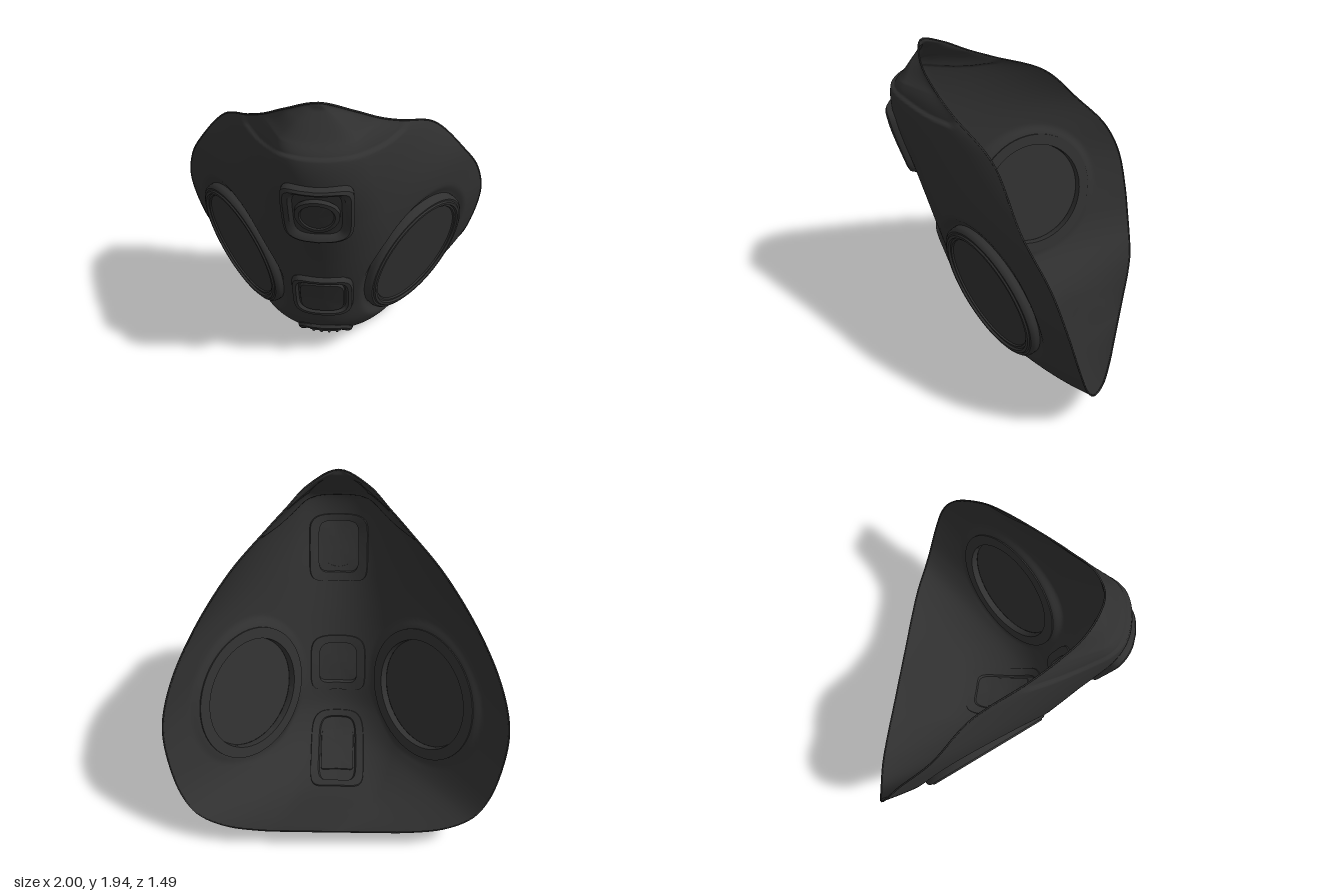
import * as THREE from 'three';
import { toCreasedNormals } from 'three/addons/utils/BufferGeometryUtils.js';

const V = (x, y, z) => new THREE.Vector3(x, y, z);
const smooth = THREE.MathUtils.smoothstep;

// Matching key points: centre line (y, z) and rim (x, y, z), nose to chin
const CENTRE = [[1.94, .52], [1.86, .575], [1.78, .63], [1.7, .69], [1.5, .695], [1.2, .587], [.95, .5], [.75, .435],
  [.5, .35], [.28, .285], [.13, .16], [.05, -.02], [.03, -.23], [.09, -.5], [.16, -.74]];
const RIM = [[0, 1.94, .52], [.18, 1.87, .455], [.31, 1.775, .33], [.42, 1.7, .2], [.62, 1.56, -.07], [.825, 1.285, -.27],
  [.945, 1.05, -.455], [.995, .82, -.56], [.965, .55, -.63], [.905, .36, -.67], [.82, .25, -.7], [.66, .19, -.73],
  [.45, .165, -.74], [.25, .16, -.74], [0, .16, -.74]];
const KEYS = CENTRE.length - 1;
const centreCurve = new THREE.CatmullRomCurve3(CENTRE.map(([y, z]) => V(0, y, z)));
// Closed rim loop: first half is the left side, second half its mirror
const rimCurve = new THREE.CatmullRomCurve3([...RIM.slice(0, -1).map(p => V(...p)),
  ...RIM.slice(1).reverse().map(([x, y, z]) => V(-x, y, z))], true);

// Filter disc frame (left side; mirrored for the right)
const DISC = V(.568, .653, -.012), AXIS = V(.75, -.2, .63).normalize();
const SIDE = V(0, 1, 0).cross(AXIS).normalize(), UP = AXIS.clone().cross(SIDE);
function discCoords(p) {
  const q = V(Math.abs(p.x), p.y, p.z).sub(DISC), h = q.dot(AXIS);
  return { h, r: Math.sqrt(Math.max(0, q.lengthSq() - h * h)) };
}

// Shell surface: k runs along the keys, u from -1 (right rim) to 1 (left rim)
function surf(u, k) {
  const a = Math.abs(u), t = THREE.MathUtils.clamp(k / KEYS, 0, 1);
  const c = centreCurve.getPoint(t), r = rimCurve.getPoint(t / 2);
  const width = .17 + .05 * smooth(k, 4, 6.5);
  const corner = V(Math.min(width, Math.max(0, r.x) * .5), c.y, c.z);
  const m = corner.clone().lerp(r, .25);
  let p;
  if (a < .35) {
    const s = a / .35;
    p = c.clone().multiplyScalar((1 - s) ** 2).addScaledVector(corner, 2 * s * (1 - s)).addScaledVector(m, s * s);
  } else p = m.clone().lerp(r, (a - .35) / .65);
  // gentle outward bulge of the cheeks
  const out = corner.clone().lerp(r, .5).sub(V(0, .8, -.45)).normalize();
  p.addScaledVector(out, .24 * a * a * (1 - a) * Math.min(1, Math.max(0, r.x)));
  // sunken nose flap with a drooping lower edge
  const edge = 3 + .5 * smooth(a, .1, .7) * (1 - .45 * smooth(a, .8, 1));
  const flap = (1 - smooth(k, edge - .13, edge)) * smooth(k, 0, .4) * (1 - a ** 8);
  p.addScaledVector(p.clone().sub(V(0, 1.5, 0)).normalize(), -.018 * flap);
  // flat seat around each disc
  const d = discCoords(p);
  if (d.h > -.3) p.addScaledVector(AXIS, (-.045 - d.h) * (1 - smooth(d.r, .43, .5)));
  if (u < 0) p.x = -p.x;
  return p;
}

// Point at width x on row k, lifted d off the surface
function onSurface(x, k, d) {
  let lo = 0, hi = .7;
  for (let i = 0; i < 22; i++) {
    const mid = (lo + hi) / 2;
    if (surf(mid, k).x < Math.abs(x)) lo = mid; else hi = mid;
  }
  const u = lo * (x < 0 ? -1 : 1), e = .02, p = surf(u, k);
  const n = surf(u + e, k).sub(surf(u - e, k)).cross(surf(u, k + e).sub(surf(u, k - e))).normalize();
  if (n.dot(p.clone().sub(V(0, .8, -.45))) < 0) n.negate();
  return p.addScaledVector(n, d);
}

// Embossed mounts on the centre line: half width, half height, key range
const BOSSES = {
  upper: { a: .19, b: .21, k0: 3.74, k1: 5.24 },
  middle: { a: .185, b: .19, k0: 6.87, k1: 8.42 },
  chin: { a: .18, b: .33, k0: 9.12, k1: 12.05 },
};
const onBoss = (B, x, y, d) => onSurface(x, (B.k0 + B.k1) / 2 - y / B.b * (B.k1 - B.k0) / 2, d);

function gridGeometry(rows, keep = () => true) {
  const w = rows[0].length, index = [];
  for (let j = 0; j < rows.length - 1; j++) for (let i = 0; i < w - 1; i++) {
    const a = j * w + i, b = a + 1, c = a + w, d = c + 1;
    if (keep(i, j)) index.push(a, c, b, b, c, d);
  }
  const g = new THREE.BufferGeometry();
  g.setAttribute('position', new THREE.Float32BufferAttribute(rows.flat().flatMap(p => p.toArray()), 3));
  g.setIndex(index);
  g.computeVertexNormals();
  return g;
}

// Concentric rounded outlines: profile is [inset, lift] from centre outward
function dish(B, a, b, power, profile, ox = 0) {
  const N = 64, pow = v => Math.sign(v) * Math.abs(v) ** (2 / power);
  const rows = profile.map(([inset, d]) => Array.from({ length: N + 1 }, (_, i) => {
    const t = (i % N) / N * Math.PI * 2;
    return onBoss(B, ox + pow(Math.cos(t)) * Math.max(0, a - inset), pow(Math.sin(t)) * Math.max(0, b - inset), d);
  }));
  return toCreasedNormals(gridGeometry(rows), .6);
}

export function createModel() {
  const group = new THREE.Group();
  const rubber = new THREE.MeshStandardMaterial({ color: 0x303030, side: THREE.DoubleSide });
  rubber.name = 'charcoal rubber';
  const add = (name, geometry) => {
    const mesh = new THREE.Mesh(geometry, rubber);
    mesh.name = name;
    group.add(mesh);
  };

  // Mask shell, open at the back, with openings behind the mounts and discs
  const U = 160, T = KEYS * 16, rows = [], open = [];
  for (let j = 0; j <= T; j++) {
    const k = j / T * KEYS, row = [], holes = [];
    for (let i = 0; i <= U; i++) {
      const p = surf(i / U * 2 - 1, k), d = discCoords(p);
      const inBoss = Object.values(BOSSES).some(B => {
        const v = (k - (B.k0 + B.k1) / 2) / ((B.k1 - B.k0) / 2);
        return Math.abs(p.x / B.a / .88) ** 5 + Math.abs(v / .9) ** 5 < 1;
      });
      row.push(p);
      holes.push(inBoss || (d.r < .41 && d.h > -.3));
    }
    rows.push(row);
    open.push(holes);
  }
  add('maskShell', gridGeometry(rows, (i, j) =>
    !(open[j][i] && open[j][i + 1] && open[j + 1][i] && open[j + 1][i + 1])));

  // Thin bead around the face opening
  add('rimBead', new THREE.TubeGeometry(rimCurve, 200, .005, 6, true));

  // Upper mount with round button
  const { upper, middle, chin } = BOSSES;
  add('upperMount', dish(upper, .19, .21, 5, [[.19, .008], [.062, .008], [.05, .03], [.03, .042], [.012, .034],
    [0, .006], [0, -.01], [.057, -.01], [.062, .008]]));
  add('upperButton', dish(upper, .12, .12, 2, [[.12, .018], [.035, .018], [.03, .026], [.008, .026], [0, .006]]));

  // Middle mount with raised square pad
  add('middleMount', dish(middle, .185, .19, 4.5, [[.185, .022], [.06, .022], [.052, .008], [.045, .01], [.035, .028],
    [.015, .028], [0, .004], [0, -.01], [.055, -.01], [.06, .02]]));

  // Chin mount with ribbed block
  add('chinMount', dish(chin, .18, .33, 5, [[.18, .004], [.06, .004], [.05, .018], [.03, .024], [.012, .02],
    [0, .004], [0, -.01], [.05, -.01], [.06, .004]]));
  add('chinBlock', dish(chin, .11, .17, 12, [[.11, .016], [.012, .016], [0, .002], [0, -.008], [.11, -.008]]));
  for (const x of [-.075, -.025, .025, .075])
    add('chinRib', dish(chin, .01, .15, 6, [[.01, .024], [.003, .024], [0, .014]], x));

  // Round filter discs: stepped ring around a flat recessed cover
  const outline = [[0, -.008], [.355, -.008], [.36, .002], [.372, .002], [.378, .015], [.395, .015], [.402, .006],
    [.414, .006], [.426, -.004], [.431, -.02], [.431, -.053], [.36, -.053], [.355, -.009]];
  for (const s of [1, -1]) {
    const rings = outline.map(([r, h]) => Array.from({ length: 73 }, (_, i) => {
      const t = i / 72 * Math.PI * 2;
      const p = DISC.clone().addScaledVector(SIDE, r * Math.cos(t)).addScaledVector(UP, s * r * Math.sin(t))
        .addScaledVector(AXIS, h);
      p.x *= s;
      return p;
    }));
    add(s > 0 ? 'leftFilterDisc' : 'rightFilterDisc', toCreasedNormals(gridGeometry(rings), .6));
  }
  return group;
}
